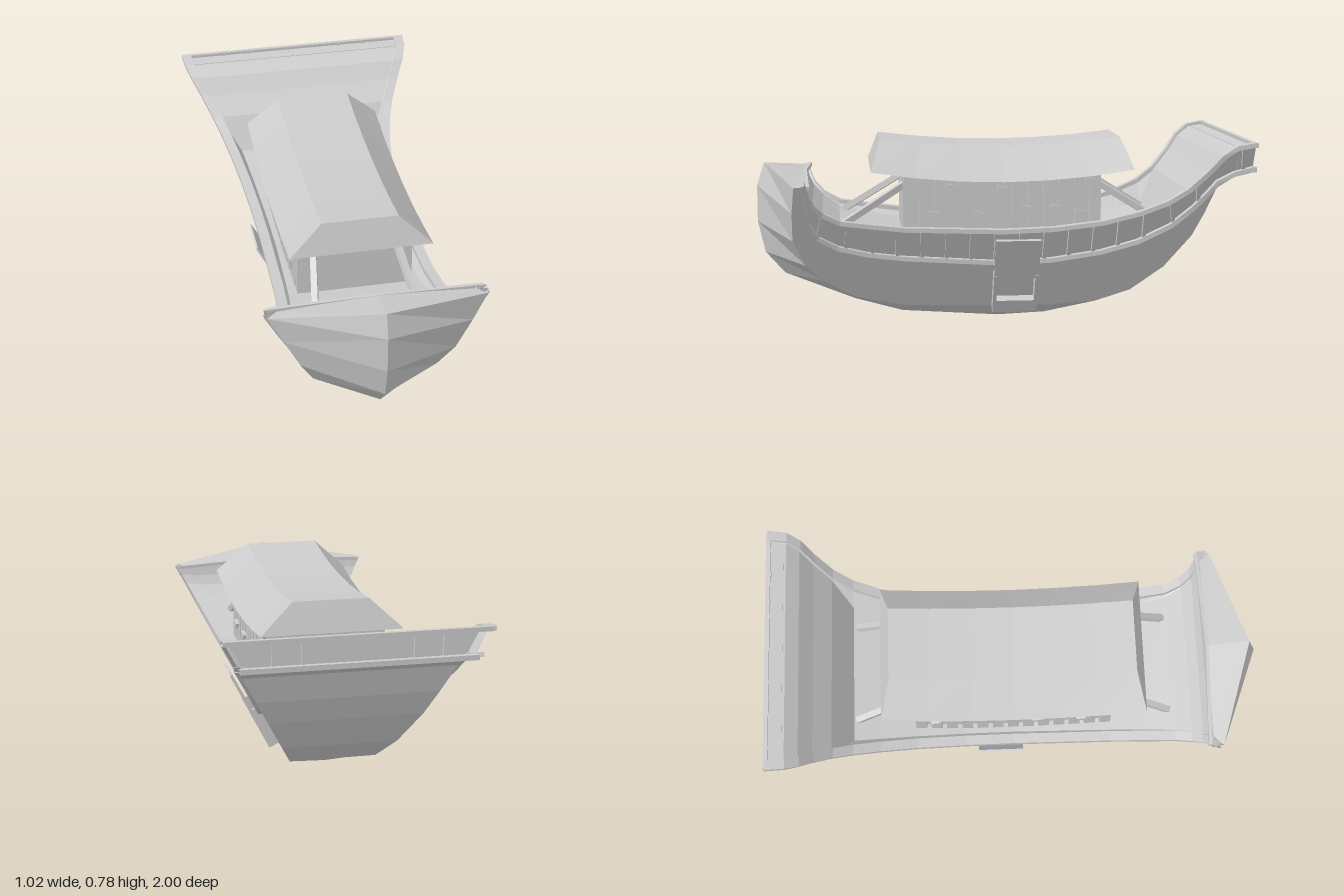
import * as THREE from 'three';

const mat = new THREE.MeshStandardMaterial({ color: 0xcccccc, flatShading: true, side: THREE.DoubleSide });
const V = (x, y, z) => new THREE.Vector3(x, y, z);

// The flared sides lie in one sloping plane: half width as a function of height
const halfWidth = y => Math.max(0.14, 0.14 + 0.523 * (y - 0.07));

// Stations from bow to stern as [z, y] of gunwale, ledge, bottom edge and keel (flat bottom if no keel)
const stations = [
  [[0.80, 0.612], [0.82, 0.608], [0.84, 0.61], [0.97, 0.665]],
  [[0.79, 0.57], [0.81, 0.53], [0.85, 0.50], [1.0, 0.57]],
  [[0.77, 0.53], [0.79, 0.45], [0.85, 0.38], [1.0, 0.42]],
  [[0.73, 0.49], [0.75, 0.39], [0.80, 0.27], [0.97, 0.29]],
  [[0.66, 0.455], [0.67, 0.345], [0.73, 0.20], [0.89, 0.20]],
  [[0.55, 0.44], [0.55, 0.315], [0.60, 0.125], [0.60, 0.085]],
  [[0.40, 0.422], [0.40, 0.295], [0.40, 0.08], [0.40, 0.03]],
  [[0.0, 0.408], [0.0, 0.268], [0.0, 0.07], [0.0, 0.003]],
  [[-0.2, 0.415], [-0.2, 0.278], [-0.2, 0.07], [-0.2, 0.012]],
  [[-0.4, 0.44], [-0.4, 0.31], [-0.4, 0.085], [-0.4, 0.075]],
  [[-0.55, 0.48], [-0.55, 0.355], [-0.54, 0.135]],
  [[-0.66, 0.525], [-0.68, 0.425], [-0.67, 0.24]],
  [[-0.74, 0.58], [-0.76, 0.50], [-0.77, 0.38]],
  [[-0.81, 0.655], [-0.81, 0.56], [-0.81, 0.48]],
  [[-0.86, 0.72], [-0.85, 0.615], [-0.845, 0.59]],
  [[-0.91, 0.757], [-0.91, 0.648], [-0.91, 0.635]],
  [[-0.985, 0.77], [-0.985, 0.67], [-0.985, 0.655]],
];

// The deck is a shallow sag amidships and meets the gunwale at both ends
const deckHeight = ([z, y]) => Math.abs(z) < 0.7 ? 0.36 + 0.18 * z * z : y - 0.004;

// Skin between successive rows of points
function loft(rows) {
  const pos = [];
  for (let i = 0; i < rows.length - 1; i++)
    for (let j = 0; j < rows[i].length - 1; j++) {
      const a = rows[i][j], b = rows[i][j + 1], c = rows[i + 1][j + 1], d = rows[i + 1][j];
      for (const p of [a, b, c, a, c, d]) pos.push(p.x, p.y, p.z);
    }
  const g = new THREE.BufferGeometry();
  g.setAttribute('position', new THREE.Float32BufferAttribute(pos, 3));
  g.computeVertexNormals();
  return g;
}

function add(parent, name, geo) {
  const m = new THREE.Mesh(geo, mat);
  m.name = name;
  parent.add(m);
  return m;
}

// Rectangular bar between two points
function beam(parent, name, a, b, w, d = w) {
  const dir = b.clone().sub(a);
  const m = add(parent, name, new THREE.BoxGeometry(w, dir.length(), d));
  m.position.copy(a).add(b).multiplyScalar(0.5);
  m.quaternion.setFromUnitVectors(V(0, 1, 0), dir.normalize());
}

// Rectangular moulding that follows a [z, y] path on one side of the hull
function moulding(path, side, inset, outset, thick) {
  return loft(path.map(([z, y], i) => {
    const p = path[Math.max(0, i - 1)], q = path[Math.min(path.length - 1, i + 1)];
    const len = Math.hypot(q[0] - p[0], q[1] - p[1]);
    const nz = (q[1] - p[1]) / len * thick / 2, ny = -(q[0] - p[0]) / len * thick / 2;
    const w = halfWidth(y), pt = (dx, s) => V(side * (w + dx), y + s * ny, z + s * nz);
    return [pt(-inset, 1), pt(outset, 1), pt(outset, -1), pt(-inset, -1), pt(-inset, 1)];
  }));
}

// Point [z, y] on one of the station curves at a fractional station index
function along(k, t) {
  const i = Math.min(stations.length - 2, Math.floor(t)), f = t - i;
  return stations[i][k].map((v, n) => v + (stations[i + 1][k][n] - v) * f);
}

// Fractional station index at which the gunwale passes a given z
function stationAt(z) {
  const i = stations.findIndex(s => s[0][0] <= z) - 1;
  const a = stations[i][0][0], b = stations[i + 1][0][0];
  return i + (a - z) / (a - b);
}

function buildHull(group) {
  const inset = 0.025;
  const rings = stations.map(([g, l, b, k = b]) => {
    const deck = deckHeight(g);
    const half = [
      V(halfWidth(b[1]), b[1], b[0]), V(halfWidth(l[1]), l[1], l[0]),
      V(halfWidth(l[1]) - inset, l[1], l[0]), V(halfWidth(g[1]) - inset, g[1], g[0]),
      V(halfWidth(deck) - inset - 0.012, deck, g[0]),
    ];
    const keel = V(0, k[1], k[0]);
    return [keel, ...half, ...half.map(p => V(-p.x, p.y, p.z)).reverse(), keel];
  });
  add(group, 'hull', loft(rings));

  // Top of the bow block and its inner lip
  const r = rings[0], lip = V(0, 0.632, 0.80);
  add(group, 'bowTop', loft([[r[1], r[0], r[10]], [r[5], lip, r[6]]]));
  for (const s of [-1, 1]) beam(group, 'bowLip', V(s * 0.42, 0.608, 0.785), V(0, 0.627, 0.80), 0.014);

  // Rails, ledges and the posts of the recessed side band
  for (const s of [-1, 1]) {
    add(group, 'gunwale', moulding(stations.map(t => t[0]), s, 0.035, 0.006, 0.018));
    add(group, 'ledge', moulding(stations.map(t => t[1]), s, 0.03, 0.012, 0.018));
    for (let i = 0; i < 16; i++) {
      const t = stationAt(0.73 - i * 0.1), [gz, gy] = along(0, t), [lz, ly] = along(1, t);
      beam(group, 'bandPost', V(s * (halfWidth(ly) - 0.014), ly, lz), V(s * (halfWidth(gy) - 0.014), gy, gz), 0.022, 0.014);
    }
    beam(group, 'endPost', V(s * 0.44, 0.67, -0.945), V(s * 0.49, 0.765, -0.935), 0.014);
  }

  // Stern: recessed panel, two cross rails and short posts
  add(group, 'sternPanel', loft([
    [V(-0.42, 0.64, -0.92), V(0.42, 0.64, -0.92)], [V(-0.475, 0.757, -0.92), V(0.475, 0.757, -0.92)]]));
  beam(group, 'sternTopRail', V(-0.505, 0.767, -0.98), V(0.505, 0.767, -0.98), 0.018);
  beam(group, 'sternLowRail', V(-0.445, 0.664, -0.99), V(0.445, 0.664, -0.99), 0.02);
  for (const x of [-0.32, -0.21, 0.21, 0.32])
    beam(group, 'sternPost', V(x, 0.66, -0.975), V(x, 0.77, -0.975), 0.016);
}

function buildCabin(group) {
  const walls = add(group, 'cabinWalls', new THREE.BoxGeometry(0.43, 0.29, 0.81));
  walls.position.set(0, 0.505, 0);

  // Upright planks with small brackets
  const brackets = [[0.21, 0.58], [0, 0.57], [-0.36, 0.6], [0.28, 0.47], [0.1, 0.47], [-0.1, 0.49], [-0.22, 0.49], [-0.32, 0.47]];
  for (const s of [-1, 1]) {
    for (let i = 0; i < 13; i++) {
      const z = 0.38 - i * 0.0635;
      beam(group, 'wallPlank', V(s * 0.222, 0.365, z), V(s * 0.222, 0.645, z), 0.024, 0.045);
    }
    for (const [z, y] of brackets) {
      beam(group, 'bracket', V(s * 0.24, y, z - 0.02), V(s * 0.24, y + 0.01, z + 0.02), 0.016);
      beam(group, 'bracketFoot', V(s * 0.24, y - 0.025, z + 0.015), V(s * 0.24, y + 0.01, z + 0.015), 0.014);
    }
    // Sloping stays fore and aft
    for (const e of [-1, 1])
      beam(group, 'stay', V(s * 0.165, 0.6, e * 0.38), V(s * 0.205, 0.435, e * 0.645), 0.025);
  }

  // Sagging roof with a flat top and sloping sides
  const rows = [];
  for (let i = 0; i <= 6; i++) {
    const t = 1 - i / 3, ey = 0.606 + 0.045 * t * t, ty = 0.74 + 0.033 * t * t;
    const e = V(0.285, ey, 0.535 * t), p = V(0.152, ty, 0.495 * t), m = v => V(-v.x, v.y, v.z);
    rows.push([e, p, m(p), m(e), e]);
  }
  add(group, 'roof', loft(rows));
  for (const r of [rows[0], rows[6]]) add(group, 'roofEnd', loft([[r[0], r[3]], [r[1], r[2]]]));
}

// Outboard chute: a tilted board above two cheeks and a step
function buildChute(group, s) {
  const chute = new THREE.Group();
  chute.name = 'sideChute';
  const slab = (name, pts, z0, z1) => {
    const shape = new THREE.Shape(pts.map(p => new THREE.Vector2(...p)));
    const g = new THREE.ExtrudeGeometry(shape, { depth: z1 - z0, bevelEnabled: false });
    add(chute, name, g.translate(0, 0, z0));
  };
  const w = 0.092, cheek = [[0.265, 0.215], [0.215, 0.24], [0.14, 0.07], [0.18, 0.05]];
  slab('board', [[0.343, 0.374], [0.336, 0.38], [0.248, 0.215], [0.257, 0.205]], -w, w);
  slab('cheek', cheek, -w, -w + 0.014);
  slab('cheek', cheek, w - 0.014, w);
  slab('step', [[0.207, 0.103], [0.16, 0.118], [0.14, 0.07], [0.18, 0.05]], -w, w);
  chute.position.z = -0.055;
  if (s < 0) chute.rotation.y = Math.PI;
  group.add(chute);
}

export function createModel() {
  const model = new THREE.Group();
  model.name = 'boat';
  for (const [name, build] of [['hullGroup', buildHull], ['cabin', buildCabin]]) {
    const g = new THREE.Group();
    g.name = name;
    build(g);
    model.add(g);
  }
  for (const s of [-1, 1]) buildChute(model, s);
  return model;
}
